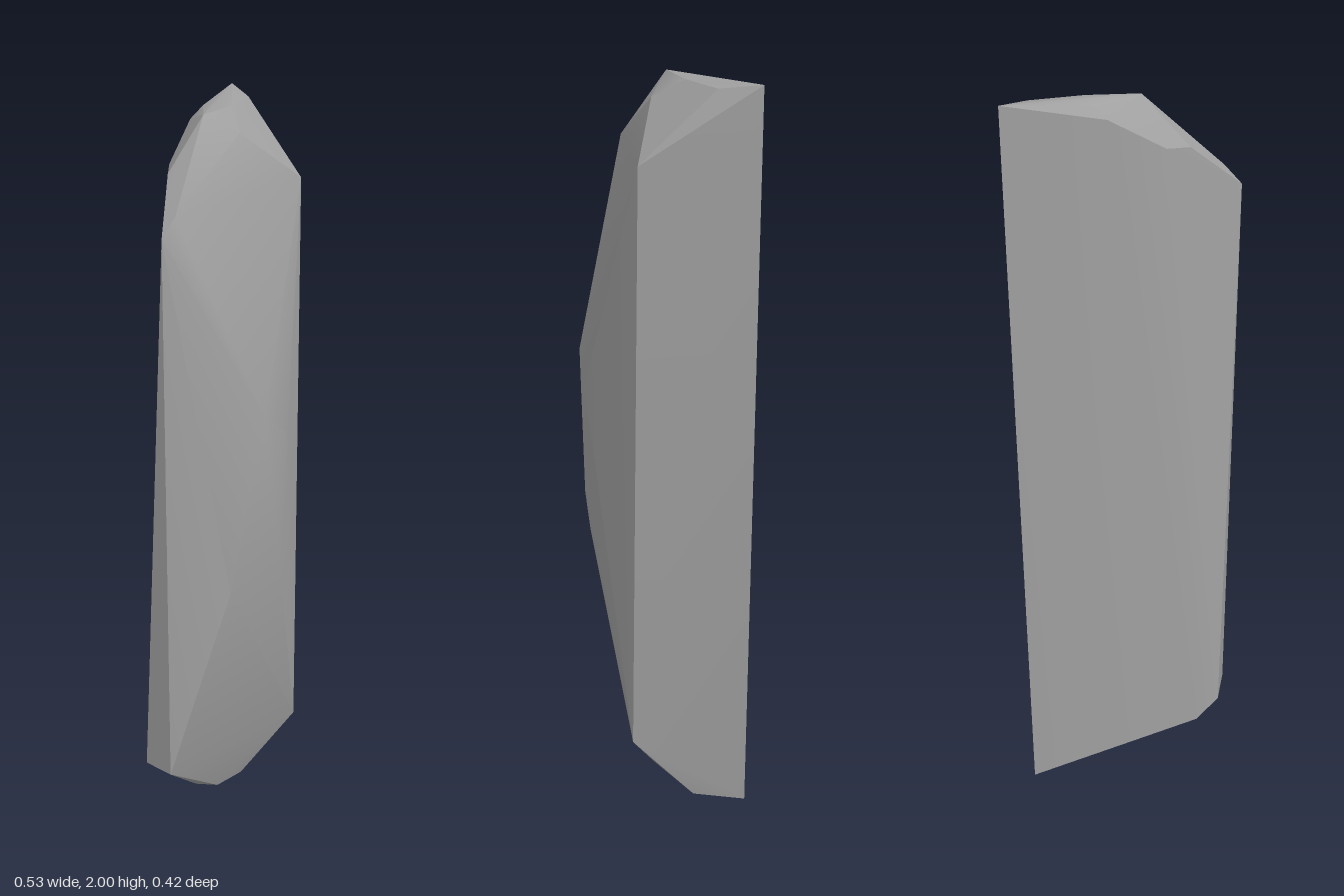
import * as THREE from 'three';
import { ConvexGeometry } from 'three/addons/geometries/ConvexGeometry.js';
import { toCreasedNormals } from 'three/addons/utils/BufferGeometryUtils.js';

// Corner points of the stone, grouped by region
const topCap = [
  [0.265, 2.0, -0.21], [0.222, 1.986, -0.11], [0.1, 1.988, -0.05],
  [-0.03, 1.99, -0.018], [0.065, 1.985, -0.115],
];
const topBevel = [
  [0.03, 1.955, -0.125], [-0.1, 1.875, -0.065], [-0.15, 1.867, -0.018],
  [-0.22, 1.796, 0.08], [-0.265, 1.75, 0.08], [0.05, 1.94, 0.027],
  [0.222, 1.81, 0.077],
];
const frontBulge = [
  [-0.04, 1.27, 0.21], [0.05, 1.2, 0.204], [0.045, 0.78, 0.196], [-0.15, 0.8, 0.198],
];
const bottomBevel = [
  [0.222, 0.2, 0.1], [-0.265, 0.22, 0.08], [-0.265, 0.21, -0.018], [-0.21, 0.16, -0.063],
];
const bottomCap = [
  [0.245, 0, -0.213], [0.222, 0.012, -0.07], [0.07, 0.025, 0.03],
  [-0.03, 0.03, 0.03], [-0.08, 0.04, -0.01],
];

export function createModel() {
  const group = new THREE.Group();
  group.name = 'standingStone';

  const stoneGrey = new THREE.MeshStandardMaterial({ color: 0xa0a0a0 });
  stoneGrey.name = 'stone grey';

  // Convex rock: sharp bevels, softly shaded front and back
  const points = [topCap, topBevel, frontBulge, bottomBevel, bottomCap]
    .flat()
    .map((p) => new THREE.Vector3(...p));
  const geometry = new ConvexGeometry(points);
  geometry.deleteAttribute('normal');
  const rock = new THREE.Mesh(toCreasedNormals(geometry, 0.5), stoneGrey);
  rock.name = 'rock';
  group.add(rock);
  return group;
}
